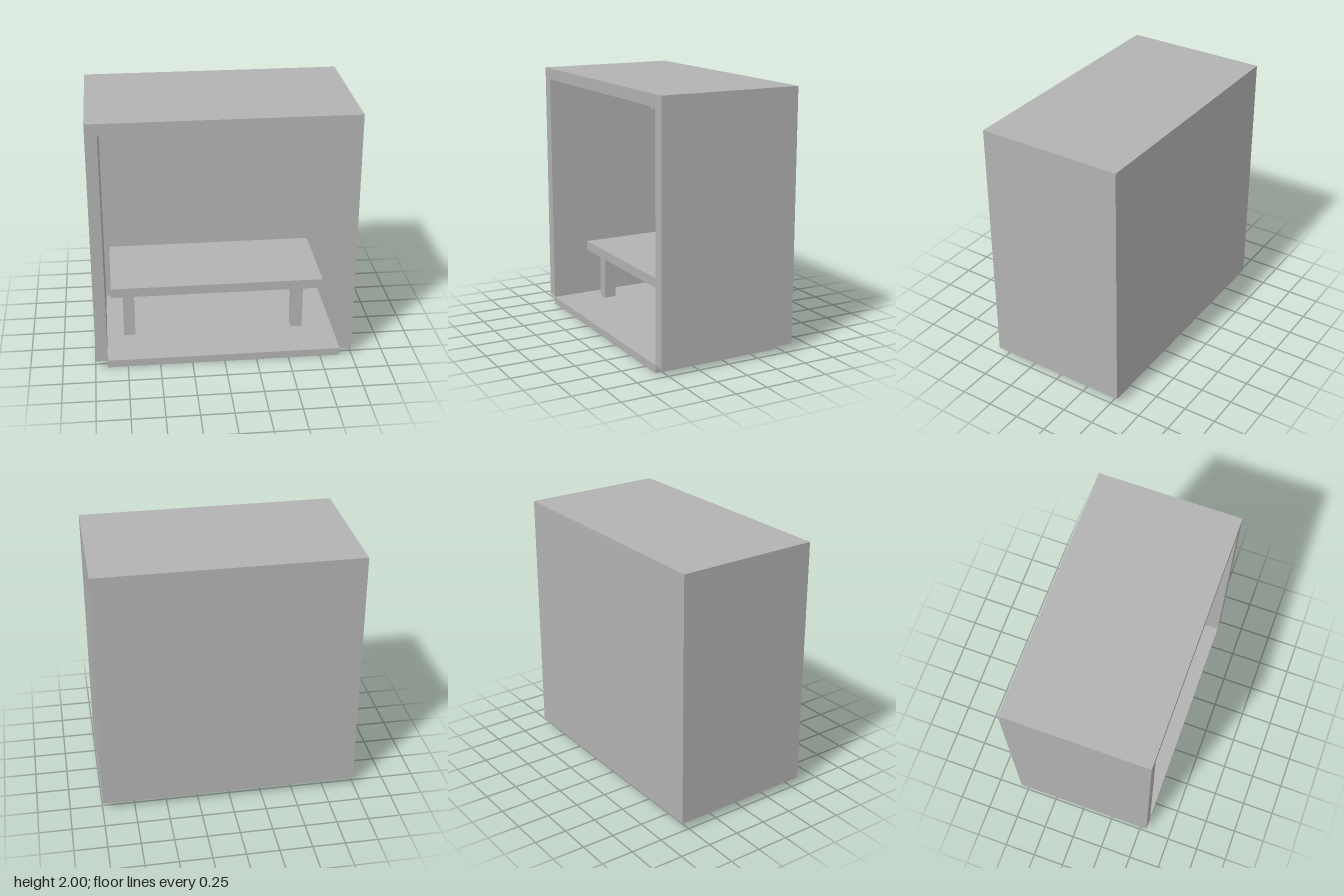
import * as THREE from 'three';

export function createModel() {
  const group = new THREE.Group();
  const grey = new THREE.MeshStandardMaterial({ color: 0xb2b2b2 });
  grey.name = 'plain grey';

  const add = (name, geometry) => {
    const mesh = new THREE.Mesh(geometry, grey);
    mesh.name = name;
    group.add(mesh);
  };

  // box given by its lower and upper bounds on each axis
  const box = (name, [x0, x1], [y0, y1], [z0, z1]) => {
    const g = new THREE.BoxGeometry(x1 - x0, y1 - y0, z1 - z0);
    g.translate((x0 + x1) / 2, (y0 + y1) / 2, (z0 + z1) / 2);
    add(name, g);
  };

  const outer = 0.995, inner = 0.905, front = 0.555, wall = -0.465, floorTop = 0.06;

  // side walls and ceiling as one arch, open at the bottom
  const arch = new THREE.Shape([
    [-outer, floorTop], [-inner, floorTop], [-inner, 1.91], [inner, 1.91],
    [inner, floorTop], [outer, floorTop], [outer, 2], [-outer, 2],
  ].map(([x, y]) => new THREE.Vector2(x, y)));
  const shell = new THREE.ExtrudeGeometry(arch, { depth: front * 2, bevelEnabled: false });
  shell.translate(0, 0, -front);
  add('wallsAndCeiling', shell);

  // back wall and recessed floor slab
  box('backWall', [-inner, inner], [floorTop, 1.91], [-front, wall]);
  box('floor', [-inner, inner], [0, floorTop], [wall, front]);

  // bench fixed to the back wall, resting on two front legs
  box('benchSeat', [-0.86, 0.805], [0.45, 0.525], [wall, 0.27]);
  for (const x of [-0.77, 0.575]) {
    box('benchLeg', [x, x + 0.09], [floorTop, 0.45], [0.095, 0.19]);
  }

  // coat rail with five pegs
  const railFront = wall + 0.04;
  box('coatRail', [-inner, inner], [1.545, 1.69], [wall, railFront]);
  for (let i = 0; i < 5; i++) {
    const x = -0.815 + i * 0.371;
    box('coatPeg', [x - 0.027, x + 0.027], [1.618, 1.68], [railFront, railFront + 0.09]);
  }
  return group;
}
